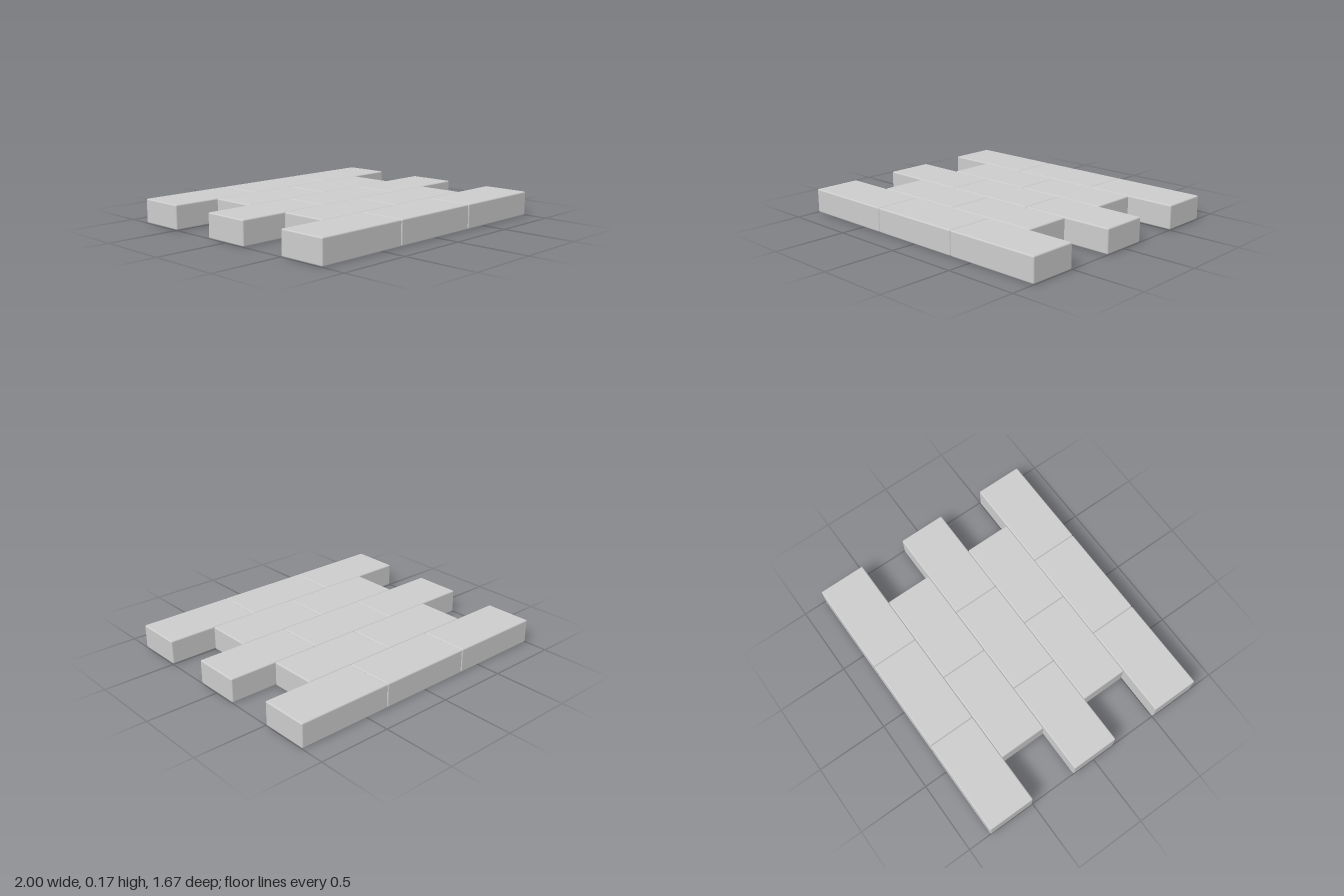
import * as THREE from 'three';
import { RoundedBoxGeometry } from 'three/addons/geometries/RoundedBoxGeometry.js';

const LENGTH = 2 / 3, HEIGHT = 1 / 6, DEPTH = 1 / 3;
const ROWS = [3, 2, 3, 2, 3]; // bricks per row, back to front

export function createModel() {
  const group = new THREE.Group();
  group.name = 'brickPaving';
  const material = new THREE.MeshStandardMaterial({ color: 0xcccccc });

  // One brick with narrow softened edges, shared by all rows
  const brick = new RoundedBoxGeometry(LENGTH, HEIGHT, DEPTH, 2, 0.01);

  // Running bond: the shorter rows are shifted by half a brick
  ROWS.forEach((count, r) => {
    const row = new THREE.Group();
    row.name = `brickRow${r + 1}`;
    row.position.set(0, HEIGHT / 2, (r - (ROWS.length - 1) / 2) * DEPTH);
    for (let i = 0; i < count; i++) {
      const mesh = new THREE.Mesh(brick, material);
      mesh.name = `brick${i + 1}`;
      mesh.position.x = (i - (count - 1) / 2) * LENGTH;
      row.add(mesh);
    }
    group.add(row);
  });

  return group;
}
